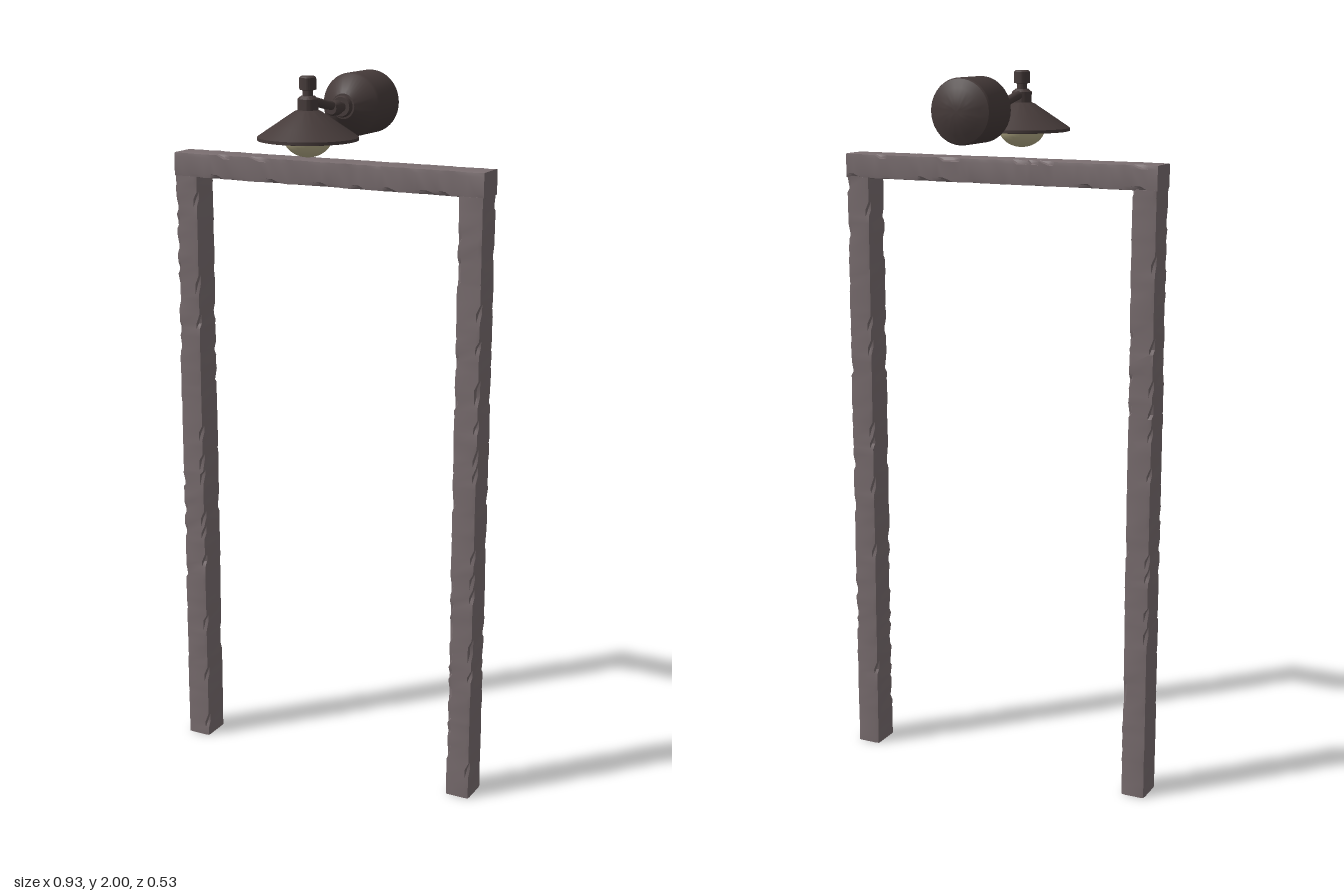
import * as THREE from 'three';
import { toCreasedNormals } from 'three/addons/utils/BufferGeometryUtils.js';

const timber = new THREE.MeshStandardMaterial({ name: 'weathered timber', color: 0x7a6e70 });
const metal = new THREE.MeshStandardMaterial({ name: 'dark metal', color: 0x463b3a });
const glass = new THREE.MeshStandardMaterial({ name: 'cream glass', color: 0xb9b08a });

function addMesh(parent, name, geometry, material) {
  const mesh = new THREE.Mesh(geometry, material);
  mesh.name = name;
  parent.add(mesh);
  return mesh;
}

// Repeatable value from 0 to 1 for a point, equal for corners that touch
function noise(x, y, z, seed) {
  const s = Math.sin(Math.round(x * 1000) * 12.99 + Math.round(y * 1000) * 78.23 + Math.round(z * 1000) * 37.72 + seed * 4.1) * 43758.5453;
  return s - Math.floor(s);
}

// Upright square timber whose long edges are worn and chipped
function chippedTimber(width, length, depth, seed) {
  const rows = Math.round(length / 0.022);
  const geometry = new THREE.BoxGeometry(width, length, depth, 3, rows, 3);
  const p = geometry.attributes.position;
  const inset = 0.012;
  for (let i = 0; i < p.count; i++) {
    const x = p.getX(i), y = p.getY(i), z = p.getZ(i);
    const edgeX = Math.abs(x) > width / 2 - 0.001;
    const edgeZ = Math.abs(z) > depth / 2 - 0.001;
    const atEnd = Math.abs(y) > length / 2 - 0.001;
    const n = noise(x, y, z, seed);
    let nx = edgeX ? x : Math.sign(x) * (width / 2 - inset);
    let nz = edgeZ ? z : Math.sign(z) * (depth / 2 - inset);
    if (edgeX && edgeZ) {
      const chip = n > 0.87 ? 0.008 : 0.001 + n * 0.002;
      nx -= Math.sign(x) * chip;
      nz -= Math.sign(z) * chip;
    } else if (edgeX) {
      nx -= Math.sign(x) * n * 0.001;
    } else if (edgeZ) {
      nz -= Math.sign(z) * n * 0.001;
    }
    const ny = atEnd ? y : y + (noise(y, 0, 0, seed) - 0.5) * 0.012;
    p.setXYZ(i, nx, ny, nz);
  }
  return toCreasedNormals(geometry, 0.5);
}

// Turned part from [radius, height] pairs
function turned(profile, segments = 40) {
  const points = profile.map(([r, y]) => new THREE.Vector2(r, y));
  return toCreasedNormals(new THREE.LatheGeometry(points, segments), 0.5);
}

export function createModel() {
  const model = new THREE.Group();
  model.name = 'timberFrameWithLamp';

  // Door frame
  const frame = new THREE.Group();
  frame.name = 'frame';
  model.add(frame);
  for (const side of [-1, 1]) {
    const post = addMesh(frame, side < 0 ? 'rightPost' : 'leftPost', chippedTimber(0.07, 1.706, 0.09, side + 3), timber);
    post.position.set(side * 0.429, 0.853, 0.006);
  }
  const beam = addMesh(frame, 'topBeam', chippedTimber(0.068, 0.93, 0.09, 9), timber);
  beam.rotation.z = Math.PI / 2;
  beam.position.set(0, 1.737, 0.006);

  // Lamp head: hollow shade, bulb, neck and cap knob
  const lamp = new THREE.Group();
  lamp.name = 'lamp';
  model.add(lamp);
  const head = new THREE.Group();
  head.name = 'lampHead';
  head.position.z = 0.13;
  lamp.add(head);
  addMesh(head, 'shade', turned([
    [0, 1.902], [0.032, 1.902], [0.128, 1.836], [0.133, 1.837], [0.133, 1.845],
    [0.09, 1.874], [0.036, 1.91], [0.027, 1.914], [0.027, 1.942], [0.018, 1.95], [0, 1.95],
  ]), metal);
  addMesh(head, 'capKnob', turned([
    [0, 1.945], [0.014, 1.945], [0.014, 1.964], [0.022, 1.966], [0.022, 1.996], [0.018, 2], [0, 2],
  ], 24), metal);
  const bulb = addMesh(head, 'bulb', new THREE.SphereGeometry(0.065, 32, 20), glass);
  bulb.scale.y = 0.83;
  bulb.position.y = 1.846;

  // Curved arm from the neck back to the joint
  const path = new THREE.CatmullRomCurve3([
    new THREE.Vector3(0, 1.934, 0.13), new THREE.Vector3(0, 1.931, 0.09),
    new THREE.Vector3(0, 1.921, 0.04), new THREE.Vector3(0, 1.912, -0.012),
  ]);
  addMesh(lamp, 'arm', new THREE.TubeGeometry(path, 16, 0.012, 14), metal);

  // Joint and housing are turned about the z axis, running backwards
  const rear = new THREE.Group();
  rear.name = 'rearMount';
  rear.rotation.x = -Math.PI / 2;
  rear.position.y = 1.906;
  lamp.add(rear);
  addMesh(rear, 'joint', turned([
    [0, 0], [0.016, 0], [0.02, 0.008], [0.02, 0.034], [0.015, 0.046], [0.015, 0.056],
    [0.026, 0.056], [0.029, 0.062], [0.029, 0.072], [0.022, 0.08], [0, 0.08],
  ], 24), metal);
  addMesh(rear, 'housing', turned([
    [0, 0.068], [0.034, 0.07], [0.046, 0.08], [0.082, 0.114], [0.086, 0.122], [0.086, 0.24],
    [0.083, 0.245], [0.06, 0.255], [0.035, 0.264], [0.015, 0.267], [0, 0.267],
  ]), metal);

  return model;
}
